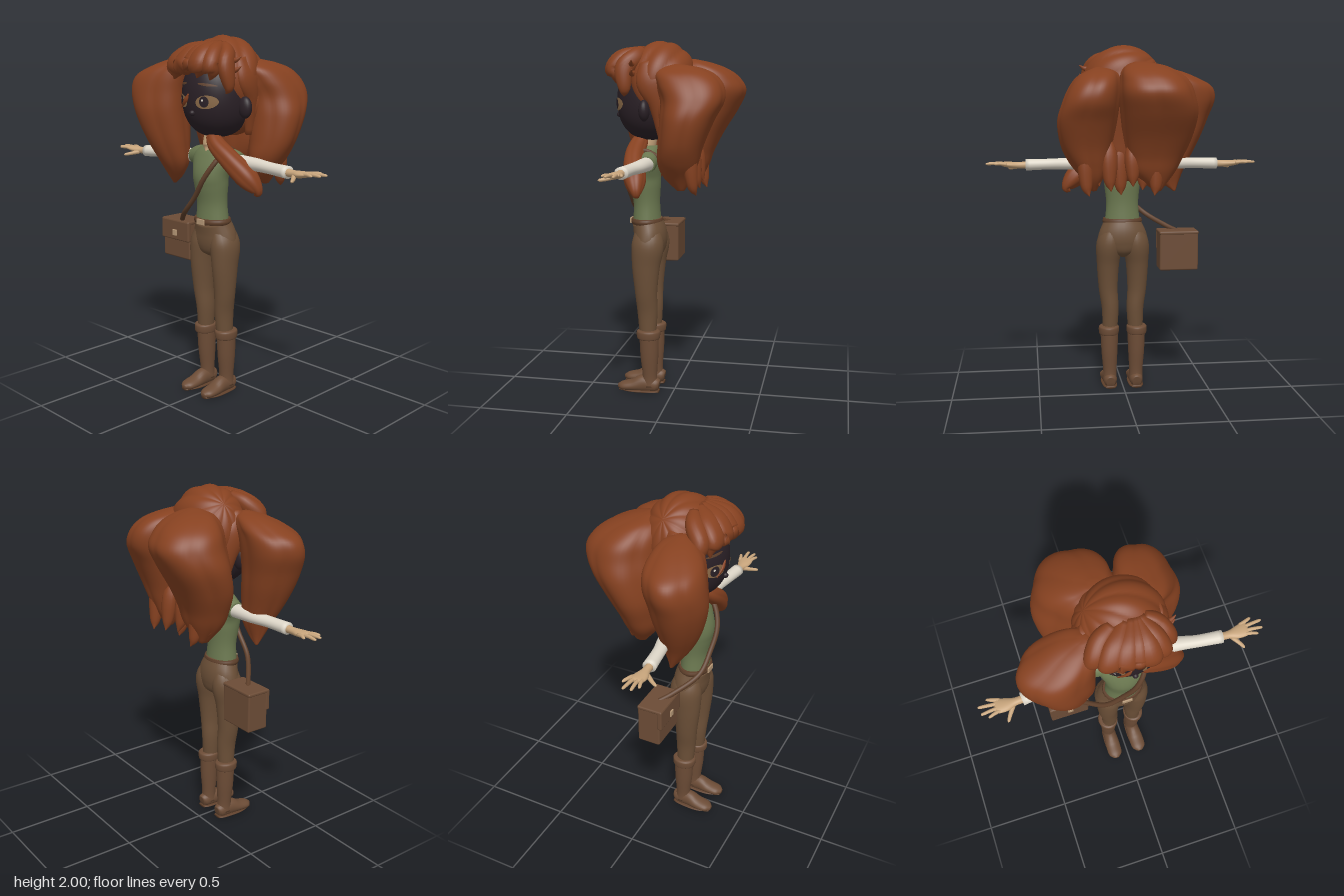
import * as THREE from 'three';
import { RoundedBoxGeometry } from 'three/addons/geometries/RoundedBoxGeometry.js';

const mat = (name, color) => {
  const m = new THREE.MeshStandardMaterial({ color });
  m.name = name;
  return m;
};
const M = {
  hair: mat('auburn hair', 0x864120), face: mat('dark face', 0x2a2026), skin: mat('tan skin', 0xc8a57c),
  shirt: mat('green shirt', 0x6b7850), sleeve: mat('cream sleeve', 0xddd6c8), trousers: mat('brown trousers', 0x6b4f37),
  boots: mat('boot brown', 0x6c4c36), leather: mat('leather', 0x5e3f2a), buckle: mat('buckle tan', 0xb89a78),
  eye: mat('eye brown', 0x8a6a48),
};
const X = new THREE.Vector3(1, 0, 0), Z = new THREE.Vector3(0, 0, 1), DOWN = new THREE.Vector3(0, -1, 0);

// Closed tube through rows [x, y, z, halfWidth along side, halfDepth], optionally ridged or with level rings
function sweep(rows, side = X, { steps = 6, seg = 24, ridges = 0, depth = 0, twist = 0, level = false } = {}) {
  const path = new THREE.CatmullRomCurve3(rows.map((r) => new THREE.Vector3(r[0], r[1], r[2])), false, 'catmullrom');
  const size = new THREE.CatmullRomCurve3(rows.map((r) => new THREE.Vector3(r[3], r[4], 0)), false, 'catmullrom');
  const n = (rows.length - 1) * steps, pos = [], index = [];
  for (let i = 0; i <= n; i++) {
    const t = i / n, p = path.getPoint(t), s = size.getPoint(t), T = level ? DOWN : path.getTangent(t);
    const A = side.clone().addScaledVector(T, -side.dot(T)).normalize(), B = T.clone().cross(A);
    for (let j = 0; j < seg; j++) {
      const q = (j / seg) * Math.PI * 2;
      const k = 1 + depth * (Math.abs(Math.sin((ridges * q) / 2 + twist * t)) - 0.7);
      const v = p.clone().addScaledVector(A, Math.max(s.x, 0) * k * Math.cos(q)).addScaledVector(B, Math.max(s.y, 0) * k * Math.sin(q));
      pos.push(v.x, v.y, v.z);
      const a = i * seg + j, b = i * seg + ((j + 1) % seg);
      if (i < n) index.push(a, b, b + seg, a, b + seg, a + seg);
    }
  }
  const c = pos.length / 3, last = n * seg;
  pos.push(...rows[0].slice(0, 3), ...rows[rows.length - 1].slice(0, 3));
  for (let j = 0; j < seg; j++) {
    const k = (j + 1) % seg;
    index.push(c, k, j, c + 1, last + j, last + k);
  }
  const g = new THREE.BufferGeometry();
  g.setAttribute('position', new THREE.Float32BufferAttribute(pos, 3));
  g.setIndex(index);
  g.computeVertexNormals();
  return g;
}

function mapVertices(g, rule) {
  const p = g.attributes.position, v = new THREE.Vector3();
  for (let i = 0; i < p.count; i++) {
    rule(v.fromBufferAttribute(p, i));
    p.setXYZ(i, v.x, v.y, v.z);
  }
  g.computeVertexNormals();
  return g;
}

// Rounded head: full cheeks, with a surface function for placing features
const H = { x: 0.01, y: 1.68, z: 0.13, rx: 0.19, ry: 0.22, rz: 0.19 };
const fullness = (v) => Math.pow(Math.max(0, 1 - Math.pow(Math.abs(v), 2.3)), 1 / 2.3);
const faceZ = (x, y) => {
  const p = fullness((y - H.y) / H.ry);
  return H.z + H.rz * p * Math.sqrt(Math.max(0, 1 - ((x - H.x) / (H.rx * p)) ** 2));
};

export function createModel() {
  const model = new THREE.Group();
  const add = (name, geometry, material, parent = model) => {
    const m = new THREE.Mesh(geometry, material);
    m.name = name;
    parent.add(m);
    return m;
  };
  const group = (name) => {
    const g = new THREE.Group();
    g.name = name;
    model.add(g);
    return g;
  };

  // Torso, neck and belt
  add('shirt', sweep([[0, 0.99, 0.16, 0.104, 0.08], [0, 1.1, 0.162, 0.094, 0.074], [0, 1.2, 0.168, 0.104, 0.085],
    [0, 1.26, 0.17, 0.112, 0.088], [0, 1.34, 0.152, 0.135, 0.076], [0, 1.39, 0.14, 0.105, 0.06], [0, 1.43, 0.135, 0.045, 0.04]]), M.shirt);
  add('neck', sweep([[0, 1.37, 0.195, 0.012, 0.02], [0, 1.41, 0.165, 0.05, 0.048], [0, 1.52, 0.14, 0.045, 0.045]]), M.skin);
  add('hips', sweep([[0, 0.79, 0.14, 0.02, 0.03], [0, 0.82, 0.14, 0.1, 0.075], [0, 0.87, 0.141, 0.146, 0.091],
    [0, 0.93, 0.143, 0.139, 0.093], [0, 1.0, 0.16, 0.108, 0.084]]), M.trousers);
  add('belt', sweep([[0, 0.985, 0.16, 0.112, 0.086], [0, 1.0, 0.16, 0.117, 0.09], [0, 1.016, 0.16, 0.112, 0.086]]), M.leather);
  add('beltBuckle', new RoundedBoxGeometry(0.06, 0.032, 0.009, 2, 0.003), M.buckle).position.set(0, 1.0, 0.251);

  // Limbs, mirrored
  for (const s of [1, -1]) {
    const leg = group(s > 0 ? 'leftLeg' : 'rightLeg'), arm = group(s > 0 ? 'leftArm' : 'rightArm');
    const limb = (rows, side, o) => sweep(rows.map(([x, ...r]) => [s * x, ...r]), side, o);
    add('trouserLeg', limb([[0.06, 0.96, 0.147, 0.045, 0.07], [0.078, 0.87, 0.141, 0.075, 0.092], [0.086, 0.75, 0.15, 0.066, 0.08],
      [0.085, 0.6, 0.15, 0.056, 0.064], [0.074, 0.48, 0.145, 0.05, 0.058], [0.076, 0.35, 0.143, 0.044, 0.048]]), M.trousers, leg);
    add('bootCuff', limb([[0.083, 0.322, 0.138, 0.05, 0.055], [0.083, 0.33, 0.138, 0.058, 0.066], [0.083, 0.365, 0.138, 0.06, 0.068],
      [0.083, 0.376, 0.138, 0.05, 0.055]]), M.boots, leg);
    add('bootShaft', limb([[0.08, 0.34, 0.135, 0.053, 0.056], [0.08, 0.22, 0.134, 0.048, 0.052], [0.078, 0.1, 0.132, 0.04, 0.042],
      [0.078, 0.04, 0.132, 0.042, 0.05]]), M.boots, leg);
    const foot = limb([[0.078, 0.04, 0.078, 0.025, 0.03], [0.078, 0.045, 0.1, 0.038, 0.042], [0.078, 0.05, 0.17, 0.042, 0.05],
      [0.08, 0.037, 0.23, 0.046, 0.034], [0.081, 0.03, 0.29, 0.042, 0.025], [0.081, 0.027, 0.32, 0.015, 0.012]]);
    add('bootFoot', mapVertices(foot, (v) => { v.y = Math.max(v.y, 0.01); }), M.boots, leg);
    add('bootSole', limb([[0.078, 0.009, 0.078, 0.028, 0.008], [0.078, 0.009, 0.12, 0.042, 0.009], [0.08, 0.009, 0.23, 0.045, 0.009],
      [0.081, 0.012, 0.312, 0.022, 0.008]]), M.leather, leg);

    add('shortSleeve', limb([[0.06, 1.355, 0.135, 0.05, 0.055], [0.13, 1.345, 0.125, 0.052, 0.056], [0.18, 1.337, 0.122, 0.046, 0.045]], Z), M.shirt, arm);
    add('longSleeve', limb([[0.14, 1.338, 0.122, 0.042, 0.04], [0.3, 1.337, 0.13, 0.04, 0.035], [0.42, 1.334, 0.15, 0.034, 0.031],
      [0.555, 1.33, 0.165, 0.036, 0.033]], Z), M.sleeve, arm);
    add('palm', limb([[0.53, 1.33, 0.164, 0.022, 0.022], [0.59, 1.328, 0.166, 0.022, 0.019], [0.64, 1.33, 0.168, 0.036, 0.018],
      [0.685, 1.335, 0.164, 0.04, 0.013], [0.7, 1.337, 0.163, 0.028, 0.006]], Z), M.skin, arm);
    [[0.134, 0.735, 0.116], [0.152, 0.785, 0.143], [0.172, 0.778, 0.183], [0.188, 0.745, 0.208]].forEach(([z, tx, tz]) => {
      add('finger', limb([[0.665, 1.334, z, 0.011, 0.01], [(0.665 + tx) / 2, 1.339, (z + tz) / 2, 0.01, 0.009],
        [tx - 0.01, 1.338, tz, 0.008, 0.007], [tx, 1.337, tz, 0.001, 0.001]], Z, { seg: 10, steps: 4 }), M.skin, arm);
    });
    add('thumb', limb([[0.605, 1.32, 0.18, 0.013, 0.013], [0.635, 1.31, 0.222, 0.011, 0.01], [0.65, 1.306, 0.248, 0.008, 0.008],
      [0.655, 1.305, 0.256, 0.001, 0.001]], Z, { seg: 10 }), M.skin, arm);
  }

  // Head and face
  const head = group('head');
  add('face', mapVertices(new THREE.SphereGeometry(1, 48, 36), (v) => {
    const k = fullness(v.y) / Math.max(Math.sqrt(Math.max(0, 1 - v.y * v.y)), 1e-4);
    v.set(H.x + v.x * k * H.rx, H.y + v.y * H.ry, H.z + v.z * k * H.rz);
  }), M.face, head);
  const blob = (name, x, y, z, rx, ry, rz, m) =>
    add(name, new THREE.SphereGeometry(1, 20, 14).scale(rx, ry, rz).translate(x, y, z), m, head);
  blob('nose', 0.01, 1.6, 0.31, 0.016, 0.016, 0.02, M.face);
  for (const s of [1, -1]) blob('ear', H.x + s * 0.205, 1.63, 0.125, 0.042, 0.058, 0.03, M.face);
  // Thin oval laid on the face
  const patch = (name, x, y, rx, ry, lift, m, tilt = 0) =>
    add(name, mapVertices(new THREE.RingGeometry(0.001, 1, 24, 5).scale(rx, ry, 1).rotateZ(tilt).translate(x, y, 0),
      (v) => { v.z = faceZ(v.x, v.y) + lift; }), m, head);
  for (const s of [1, -1]) {
    const x = H.x + s * 0.088;
    patch('eye', x, 1.66, 0.056, 0.035, 0.003, M.eye, s * 0.12);
    patch('iris', x - 0.008, 1.662, 0.024, 0.029, 0.005, M.face);
    patch('eyeGlint', x - 0.014, 1.67, 0.006, 0.006, 0.007, M.sleeve);
    patch('brow', x, 1.75, 0.048, 0.007, 0.003, M.leather, -s * 0.12);
  }

  // Hair cap with ridges swirling from a side crown
  const hair = group('hair');
  const cap = mapVertices(new THREE.SphereGeometry(1, 112, 40), (v) => {
    const ring = Math.hypot(v.x, v.z);
    v.multiplyScalar(1 + 0.05 * ring * (Math.abs(Math.sin(5 * Math.atan2(v.z, v.x) + 1.5 * v.y)) - 0.7));
  });
  add('hairCap', cap.rotateZ(0.83).rotateY(-0.2).scale(0.23, 0.23, 0.2).translate(0.005, 1.77, 0.07), M.hair, hair);
  add('hairBackOfHead', new THREE.SphereGeometry(1, 32, 24).scale(0.225, 0.21, 0.13).translate(0.005, 1.66, 0.015), M.hair, hair);
  const lock = (name, rows, side = X, o = {}) =>
    add(name, sweep(rows, side, { seg: 56, ridges: 5, depth: 0.08, twist: 1, ...o }), M.hair, hair);
  // Lock given by level extents [y, xMin, xMax, zMin, zMax]
  const bulk = (name, rows) => lock(name, rows.map(([y, x0, x1, z0, z1]) =>
    [(x0 + x1) / 2, y, (z0 + z1) / 2, (x1 - x0) / 2, (z1 - z0) / 2]), X, { level: true });

  // Large swept locks
  bulk('rightSideLock', [[1.885, -0.22, -0.18, 0.14, 0.18], [1.865, -0.33, -0.14, 0.085, 0.24], [1.825, -0.44, -0.14, 0.06, 0.305],
    [1.775, -0.53, -0.155, 0.055, 0.345], [1.7, -0.55, -0.17, 0.06, 0.365], [1.6, -0.515, -0.175, 0.075, 0.37], [1.5, -0.475, -0.175, 0.085, 0.35],
    [1.4, -0.425, -0.175, 0.1, 0.315], [1.3, -0.37, -0.185, 0.115, 0.265], [1.22, -0.335, -0.235, 0.14, 0.21], [1.17, -0.315, -0.3, 0.155, 0.17]]);
  bulk('backRightLock', [[1.905, -0.1, -0.04, -0.1, -0.05], [1.885, -0.2, 0.01, -0.19, -0.01], [1.85, -0.27, 0.04, -0.28, 0.01],
    [1.8, -0.325, 0.05, -0.345, 0.015], [1.73, -0.355, 0.055, -0.378, 0.02], [1.63, -0.38, 0.045, -0.335, 0.03], [1.5, -0.36, 0.03, -0.255, 0.05],
    [1.39, -0.315, 0.01, -0.2, 0.04], [1.3, -0.27, -0.02, -0.17, 0.02], [1.2, -0.19, -0.15, -0.12, -0.06]]);
  bulk('backLeftLock', [[1.875, 0.11, 0.17, -0.06, 0], [1.855, 0.06, 0.22, -0.17, 0.07], [1.82, 0.04, 0.28, -0.25, 0.09],
    [1.76, 0.04, 0.325, -0.3, 0.07], [1.68, 0.05, 0.36, -0.305, 0.035], [1.58, 0.06, 0.385, -0.255, 0.035], [1.45, 0.08, 0.365, -0.2, 0.045],
    [1.35, 0.1, 0.315, -0.17, 0.05], [1.27, 0.13, 0.25, -0.14, 0.02], [1.2, 0.17, 0.2, -0.09, -0.05]]);
  bulk('napeLock', [[1.7, -0.16, 0.16, -0.15, 0.05], [1.5, -0.17, 0.17, -0.12, 0.06], [1.36, -0.12, 0.12, -0.1, 0.05], [1.25, -0.02, 0.02, -0.04, 0]]);
  lock('frontLock', [[0, 1.5, 0.16, 0.03, 0.03], [0.07, 1.43, 0.195, 0.05, 0.045], [0.17, 1.355, 0.195, 0.055, 0.055],
    [0.27, 1.265, 0.165, 0.06, 0.06], [0.325, 1.2, 0.145, 0.03, 0.03], [0.305, 1.175, 0.145, 0.005, 0.005]], Z);

  // Pointed ends along the back
  for (let i = 0; i < 8; i++) {
    const x = -0.22 + i * 0.065, drop = ((i * 5) % 3) * 0.025, z = -0.09 - (i % 2) * 0.05;
    lock('hairTip', [[x, 1.52, z + 0.05, 0.005, 0.005], [x, 1.4, z + 0.02, 0.045, 0.04], [x * 0.98, 1.29 - drop, z, 0.034, 0.03],
      [x * 0.92, 1.23 - drop, z - 0.02, 0.002, 0.002]], X, { seg: 14, ridges: 3 });
  }

  // Fringe curls swept from an off-centre parting: [root x, tip x, tip y, width, bulge z]
  [[-0.06, -0.2, 1.755, 0.05, 0.25], [0, -0.135, 1.785, 0.062, 0.295], [0.03, -0.06, 1.815, 0.062, 0.315], [0.05, 0.01, 1.845, 0.055, 0.32],
    [0.06, 0.075, 1.8, 0.062, 0.325], [0.07, 0.145, 1.79, 0.055, 0.3], [0.09, 0.205, 1.72, 0.042, 0.24]].forEach(([r, x, y, w, z]) => {
    lock('fringeCurl', [[r, 1.945, 0.16, 0.03, 0.03], [r * 0.5 + x * 0.5, 1.91, z - 0.05, w, 0.048], [r * 0.15 + x * 0.85, 1.85, z, w, 0.052],
      [x, y + 0.025, z - 0.005, w * 0.65, 0.032], [x - 0.015, y - 0.015, z, 0.003, 0.003]], X, { seg: 24, ridges: 3 });
  });
  lock('eyeStrand', [[-0.012, 1.7, 0.318, 0.004, 0.004], [-0.035, 1.665, 0.318, 0.014, 0.008], [-0.08, 1.625, 0.305, 0.002, 0.002]], X, { seg: 10, ridges: 2 });
  for (const s of [1, -1]) lock('templeLock', [[s * 0.17, 1.88, 0.12, 0.03, 0.04], [s * 0.205, 1.78, 0.1, 0.035, 0.07],
    [s * 0.19, 1.66, 0.055, 0.035, 0.05], [s * 0.16, 1.48, 0.03, 0.02, 0.03]], X, { seg: 24, ridges: 3 });
  // Flicked wisps beside the fringe
  for (const y of [1.88, 1.83])
    lock('wisp', [[0.16, y, 0.19, 0.02, 0.02], [0.21, y - 0.005, 0.195, 0.014, 0.014], [0.245, y + 0.015, 0.185, 0.002, 0.002]], Z, { seg: 10, ridges: 0 });

  // Satchel and shoulder strap
  const bag = group('satchel');
  const box = (name, w, h, d, r, x, y, z, m) => add(name, new RoundedBoxGeometry(w, h, d, 2, r), m, bag).position.set(x, y, z);
  box('bagBody', 0.225, 0.225, 0.13, 0.01, -0.315, 0.833, 0.085, M.boots);
  box('bagFlap', 0.23, 0.118, 0.028, 0.008, -0.315, 0.888, 0.15, M.boots);
  box('bagLid', 0.23, 0.02, 0.145, 0.008, -0.315, 0.94, 0.09, M.boots);
  box('clasp', 0.032, 0.036, 0.009, 0.003, -0.312, 0.873, 0.167, M.buckle);
  const strap = [[-0.33, 0.935, 0.09], [-0.26, 0.965, 0.15], [-0.13, 1.04, 0.245], [-0.03, 1.14, 0.262], [0.045, 1.25, 0.265],
    [0.1, 1.35, 0.22], [0.115, 1.405, 0.15], [0.1, 1.37, 0.07]].map((p) => new THREE.Vector3(...p));
  add('strap', new THREE.TubeGeometry(new THREE.CatmullRomCurve3(strap), 60, 0.014, 10), M.leather, bag);

  return model;
}
